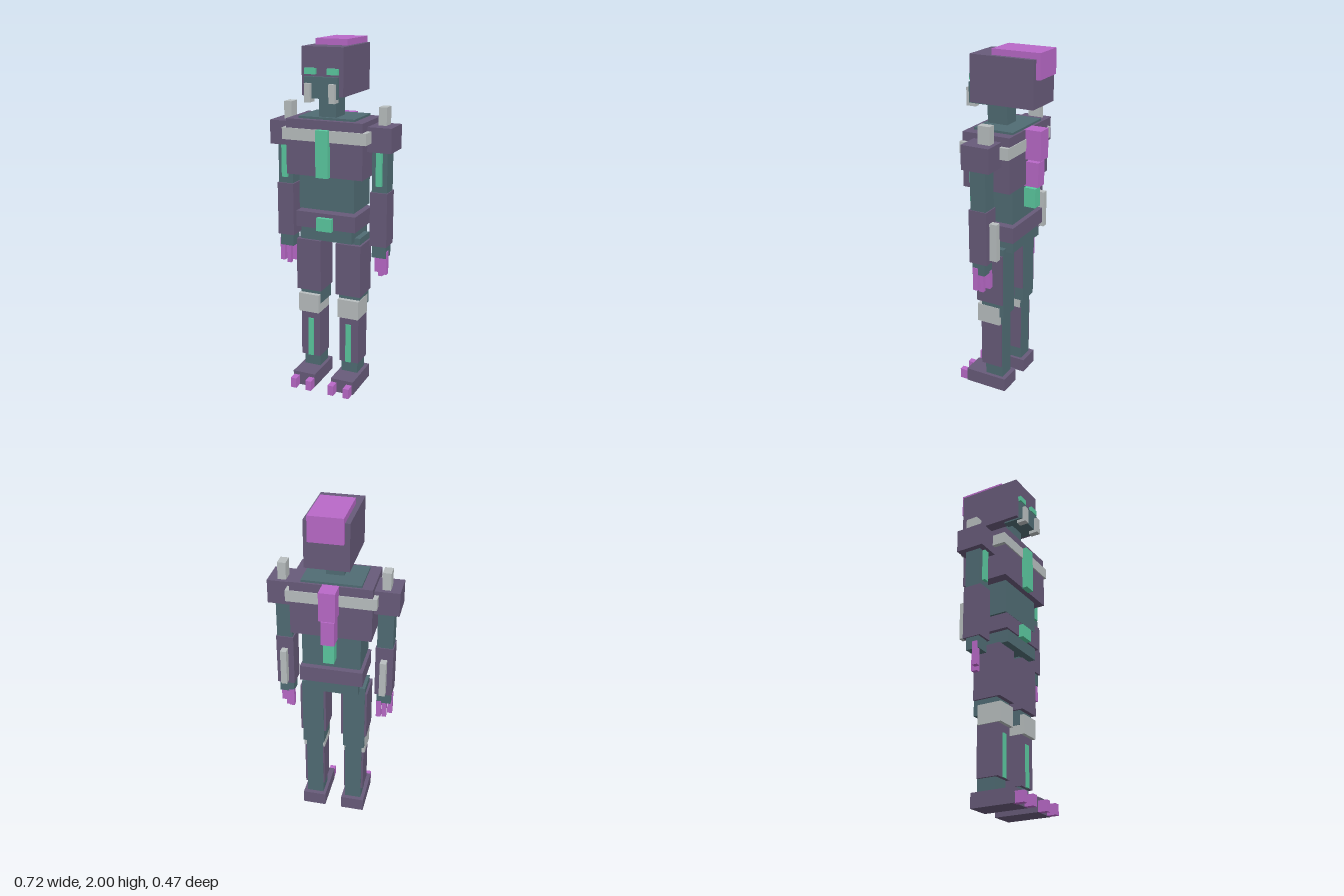
import * as THREE from 'three';

const mat = (name, color) => {
  const m = new THREE.MeshStandardMaterial({ color });
  m.name = name;
  return m;
};

export function createModel() {
  const purple = mat('purple armour', 0x685b7a);
  const teal = mat('teal body', 0x506c74);
  const grey = mat('pale grey', 0xb9bfc0);
  const pink = mat('magenta', 0xb969c8);
  const green = mat('glow green', 0x5bc9a0);

  const model = new THREE.Group();
  model.name = 'armouredFigure';

  // box given by its limits on each axis
  const box = (parent, name, material, x0, x1, y0, y1, z0, z1) => {
    const mesh = new THREE.Mesh(new THREE.BoxGeometry(x1 - x0, y1 - y0, z1 - z0), material);
    mesh.position.set((x0 + x1) / 2, (y0 + y1) / 2, (z0 + z1) / 2);
    mesh.name = name;
    parent.add(mesh);
  };
  const part = (name) => {
    const g = new THREE.Group();
    g.name = name;
    model.add(g);
    return g;
  };
  // box centred on x = 0, given by half its width
  const mid = (parent, name, material, w, ...limits) => box(parent, name, material, -w, w, ...limits);

  // head
  const head = part('head');
  mid(head, 'helmet', purple, 0.119, 1.71, 1.967, -0.21, 0.167);
  mid(head, 'crest', pink, 0.093, 1.862, 2.0, -0.234, 0.048);
  mid(head, 'jaw', teal, 0.096, 1.7, 1.813, 0.07, 0.189);
  mid(head, 'neck', teal, 0.05, 1.57, 1.72, -0.02, 0.1);

  // torso
  const torso = part('torso');
  mid(torso, 'trunk', teal, 0.164, 1.073, 1.59, -0.115, 0.12);
  mid(torso, 'chestArmour', purple, 0.224, 1.27, 1.578, -0.128, 0.154);
  mid(torso, 'chestStrap', grey, 0.247, 1.463, 1.528, -0.133, 0.161);
  mid(torso, 'chestStripe', green, 0.036, 1.27, 1.53, 0.15, 0.185);
  mid(torso, 'upperBackSpike', pink, 0.045, 1.415, 1.58, -0.22, -0.12);
  mid(torso, 'middleBackSpike', pink, 0.037, 1.26, 1.4, -0.203, -0.11);
  mid(torso, 'lowerBackSpike', green, 0.03, 1.135, 1.247, -0.183, -0.105);

  // hips
  const hips = part('hips');
  mid(hips, 'pelvis', teal, 0.152, 0.895, 1.04, -0.11, 0.125);
  mid(hips, 'belt', purple, 0.178, 0.967, 1.057, -0.125, 0.135);
  mid(hips, 'buckle', green, 0.045, 0.96, 1.035, 0.13, 0.16);

  // paired parts, mirrored by side
  for (const [side, s] of [['left', 1], ['right', -1]]) {
    const pair = (parent, name, material, x0, x1, ...limits) =>
      box(parent, name, material, s > 0 ? x0 : -x1, s > 0 ? x1 : -x0, ...limits);

    pair(head, side + 'Eye', green, 0.034, 0.096, 1.825, 1.857, 0.16, 0.186);
    pair(head, side + 'Tusk', grey, 0.053, 0.087, 1.68, 1.78, 0.153, 0.21);

    const arm = part(side + 'Arm');
    pair(arm, 'shoulder', purple, 0.21, 0.36, 1.415, 1.55, -0.081, 0.084);
    pair(arm, 'shoulderSpike', grey, 0.26, 0.306, 1.53, 1.648, -0.057, 0.013);
    pair(arm, 'upperArm', teal, 0.24, 0.328, 1.17, 1.43, -0.042, 0.05);
    pair(arm, 'armStripe', green, 0.268, 0.301, 1.225, 1.413, 0.045, 0.068);
    pair(arm, 'forearm', purple, 0.234, 0.333, 0.88, 1.187, -0.048, 0.06);
    pair(arm, 'forearmFin', grey, 0.266, 0.301, 0.9, 1.115, -0.092, -0.045);
    pair(arm, 'hand', teal, 0.244, 0.326, 0.81, 0.89, -0.03, 0.047);
    pair(arm, 'outerFinger', pink, 0.303, 0.331, 0.715, 0.85, 0.012, 0.042);
    pair(arm, 'middleFinger', pink, 0.274, 0.299, 0.695, 0.82, -0.005, 0.022);
    pair(arm, 'innerFinger', pink, 0.244, 0.272, 0.71, 0.82, -0.031, 0.002);

    const leg = part(side + 'Leg');
    pair(leg, 'thigh', teal, 0.058, 0.184, 0.49, 0.918, -0.068, 0.075);
    pair(leg, 'thighArmour', purple, 0.046, 0.196, 0.575, 0.88, -0.065, 0.1);
    pair(leg, 'kneePad', grey, 0.06, 0.186, 0.436, 0.547, -0.043, 0.101);
    pair(leg, 'shin', teal, 0.069, 0.168, 0.07, 0.48, -0.051, 0.06);
    pair(leg, 'shinArmour', purple, 0.062, 0.18, 0.153, 0.436, -0.048, 0.08);
    pair(leg, 'shinStripe', green, 0.102, 0.135, 0.153, 0.39, 0.075, 0.086);
    pair(leg, 'foot', purple, 0.051, 0.189, 0, 0.081, -0.077, 0.18);
    pair(leg, 'innerToe', pink, 0.053, 0.088, 0, 0.06, 0.17, 0.232);
    pair(leg, 'outerToe', pink, 0.148, 0.183, 0, 0.06, 0.17, 0.232);
  }
  return model;
}
